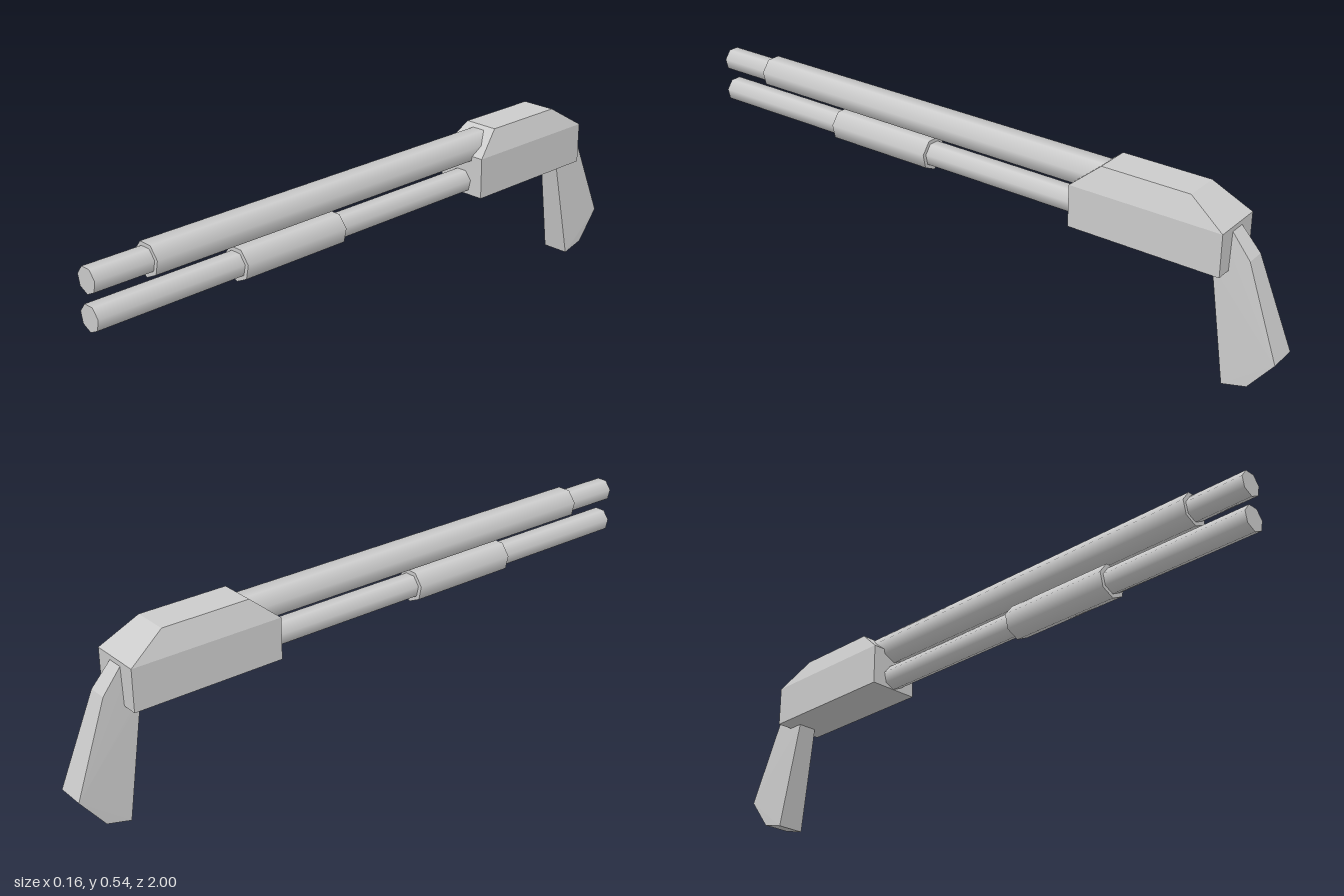
import * as THREE from 'three';
import { ConvexGeometry } from 'three/addons/geometries/ConvexGeometry.js';

const material = new THREE.MeshStandardMaterial({ color: 0xcccccc });

export function createModel() {
  const model = new THREE.Group();

  const add = (name, geometry) => {
    const mesh = new THREE.Mesh(geometry, material);
    mesh.name = name;
    model.add(mesh);
  };

  // Seven-sided tube along z with one corner pointing down
  const tube = (name, radius, y, front, back) => {
    const geometry = new THREE.CylinderGeometry(radius, radius, front - back, 7);
    geometry.rotateX(Math.PI / 2).translate(0, y, (front + back) / 2);
    add(name, geometry);
  };

  // Faceted solid from mirrored side points: [z, y, half width]
  const solid = (name, points) => add(name, new ConvexGeometry(points.flatMap(
    ([z, y, w]) => [new THREE.Vector3(w, y, z), new THREE.Vector3(-w, y, z)])));

  // Upper barrel with its thicker sleeve
  tube('barrelMuzzle', 0.038, 0.483, 1, 0.78);
  tube('barrel', 0.05, 0.483, 0.82, -0.48);

  // Lower magazine tube with the sliding forend
  tube('magazineTube', 0.039, 0.379, 1, -0.4);
  tube('forend', 0.052, 0.379, 0.53, 0.17);

  // Receiver: straight walls with a tapered top
  solid('receiver', [
    [-0.365, 0.34, 0.081], [-0.365, 0.467, 0.081], [-0.45, 0.538, 0.055],
    [-0.725, 0.538, 0.055], [-0.837, 0.467, 0.081], [-0.837, 0.34, 0.081],
  ]);

  // Rear grip, widening towards its foot
  solid('grip', [
    [-0.785, 0.36, 0.03], [-0.79, 0.34, 0.031], [-0.85, 0, 0.044], [-0.925, 0.02, 0.044],
    [-1, 0.115, 0.044], [-0.895, 0.385, 0.029], [-0.835, 0.455, 0.025], [-0.8, 0.46, 0.025],
  ]);

  return model;
}
